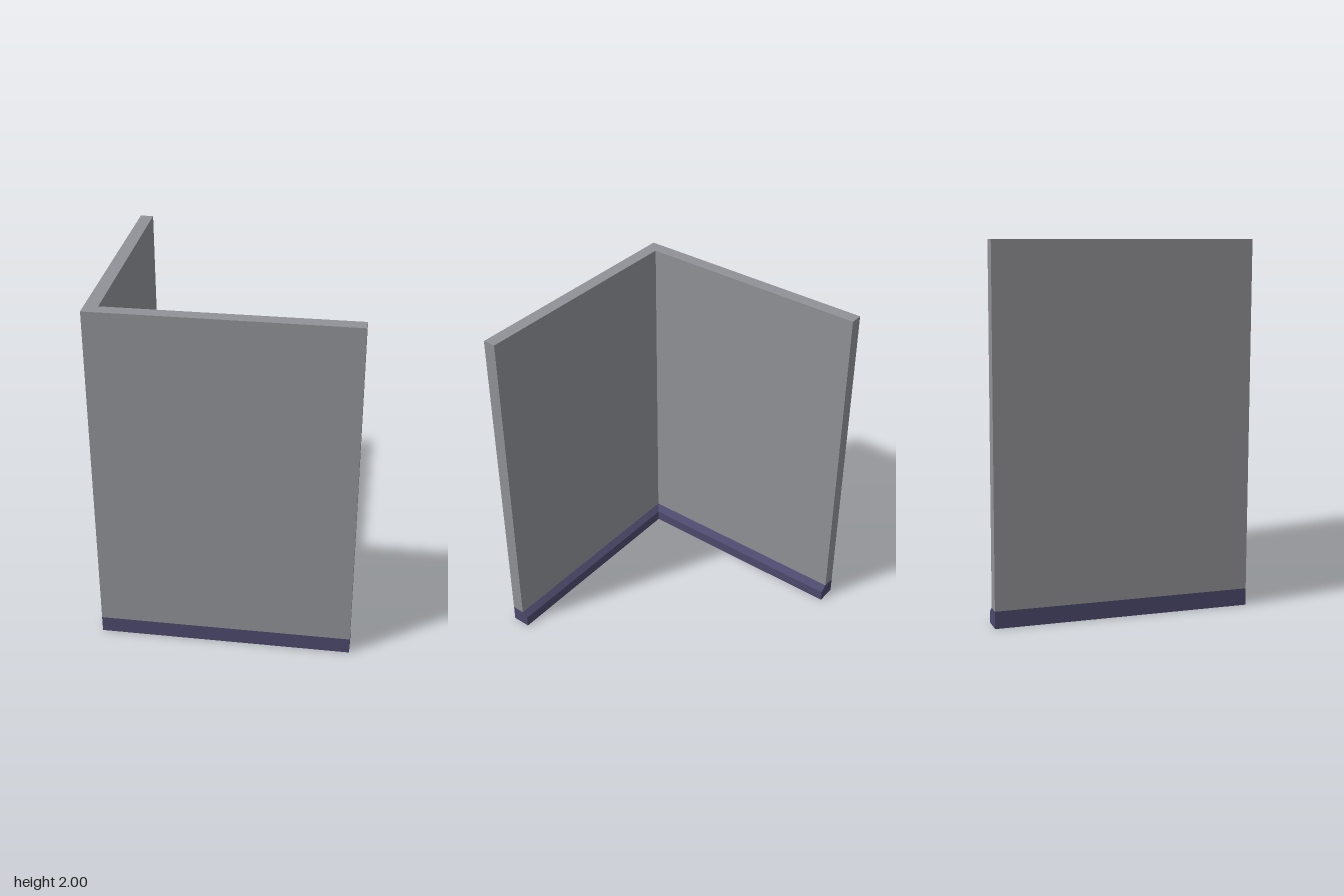
import * as THREE from 'three';

const H = 0.708;        // half footprint
const BASE_TOP = 0.093; // top of the skirting

// L-shaped section, counterclockwise from above, with inner faces at x = ix and z = iz
const ring = (y, ix, iz) => [
  [-H, -H], [-H, H], [H, H], [H, iz], [ix, iz], [ix, -H],
].map(([x, z]) => new THREE.Vector3(x, y, z));

const CAP = [[0, 1, 4], [0, 4, 5], [1, 2, 3], [1, 3, 4]];

// Flat-faced solid through a stack of L-shaped sections
function loft(rings, capBottom, capTop) {
  const points = [];
  for (let k = 0; k < rings.length - 1; k++) {
    const lo = rings[k], hi = rings[k + 1];
    for (let i = 0; i < 6; i++) {
      const j = (i + 1) % 6;
      points.push(lo[i], lo[j], hi[j], lo[i], hi[j], hi[i]);
    }
  }
  const last = rings[rings.length - 1];
  for (const [a, b, c] of CAP) {
    if (capBottom) points.push(rings[0][a], rings[0][c], rings[0][b]);
    if (capTop) points.push(last[a], last[b], last[c]);
  }
  const geometry = new THREE.BufferGeometry().setFromPoints(points);
  geometry.computeVertexNormals();
  return geometry;
}

export function createModel() {
  const group = new THREE.Group();
  group.name = 'cornerWall';

  const wallGrey = new THREE.MeshStandardMaterial({ color: 0x919297 });
  wallGrey.name = 'wallGrey';
  const skirtingBlue = new THREE.MeshStandardMaterial({ color: 0x4c4a6c });
  skirtingBlue.name = 'skirtingBlue';

  // Two walls meeting at the front corner
  const walls = new THREE.Mesh(
    loft([ring(BASE_TOP, -0.634, 0.634), ring(2, -0.634, 0.634)], true, true), wallGrey);
  walls.name = 'walls';

  // Skirting: flush outside, stepped out inside with a sloped top edge
  const skirting = new THREE.Mesh(
    loft([
      ring(0, -0.593, 0.6),
      ring(0.064, -0.593, 0.6),
      ring(BASE_TOP, -0.634, 0.634),
    ], true, false), skirtingBlue);
  skirting.name = 'skirting';

  group.add(walls, skirting);
  return group;
}
